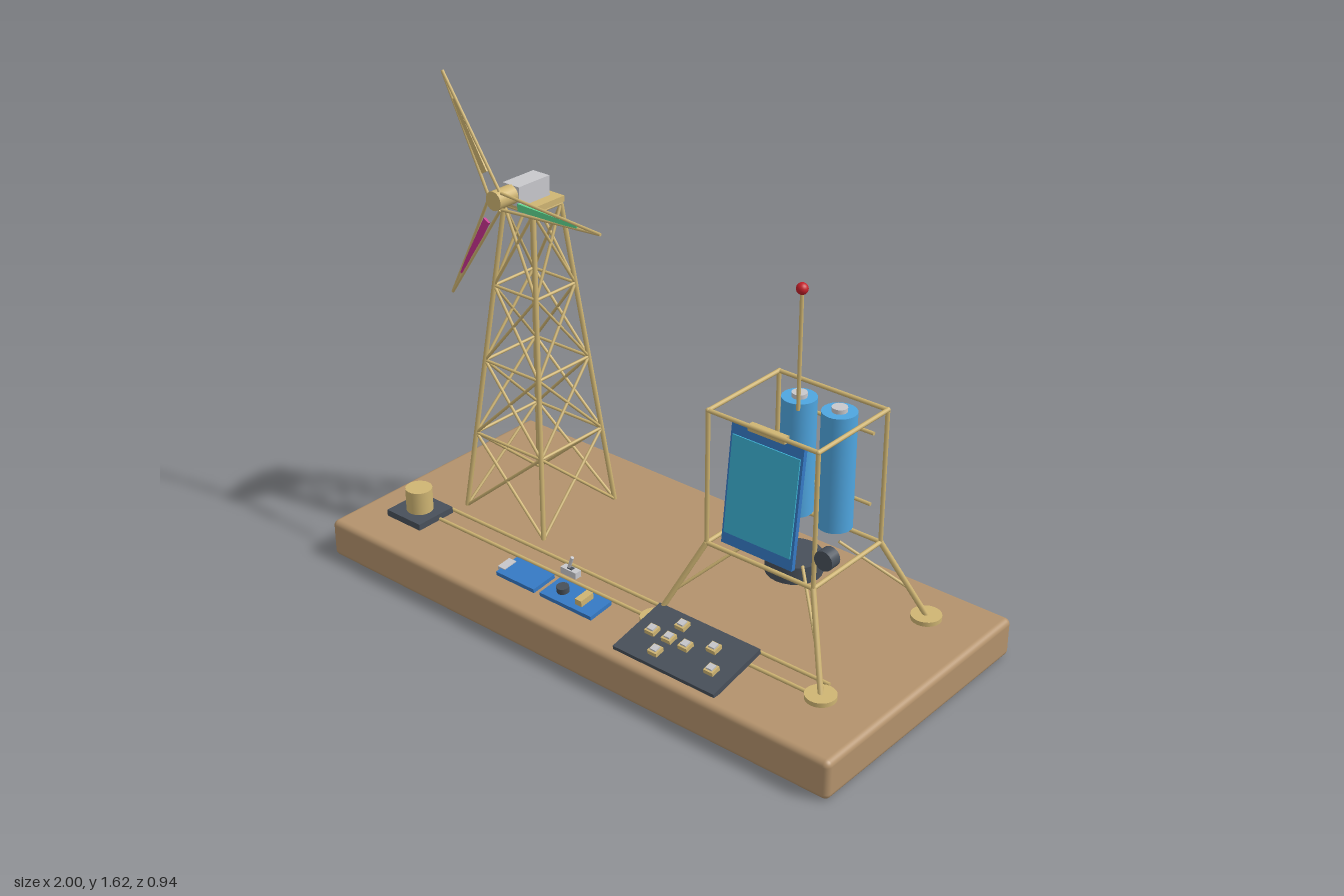
import * as THREE from 'three';
import { RoundedBoxGeometry } from 'three/addons/geometries/RoundedBoxGeometry.js';

const material = (name, color) => {
  const m = new THREE.MeshStandardMaterial({ color });
  m.name = name;
  return m;
};

export function createModel() {
  const sand = material('sand', 0xb3926c);
  const gold = material('gold', 0xcfb573);
  const skyBlue = material('sky blue', 0x4fa6e0);
  const blue = material('blue', 0x357ac6);
  const cyan = material('cyan', 0x3cb2d4);
  const dark = material('dark slate', 0x48505a);
  const grey = material('light grey', 0xc8c8cc);
  const red = material('red', 0xc4202a);
  const green = material('green', 0x5fd890);
  const magenta = material('magenta', 0xc8328f);

  const model = new THREE.Group();
  const V = (x, y, z) => new THREE.Vector3(x, y, z);

  const group = (name, parent = model, x = 0, y = 0, z = 0) => {
    const g = new THREE.Group();
    g.name = name;
    g.position.set(x, y, z);
    parent.add(g);
    return g;
  };
  const add = (parent, name, geometry, mat, x = 0, y = 0, z = 0) => {
    const mesh = new THREE.Mesh(geometry, mat);
    mesh.name = name;
    mesh.position.set(x, y, z);
    parent.add(mesh);
    return mesh;
  };
  const box = (parent, name, mat, w, h, d, x, y, z) =>
    add(parent, name, new THREE.BoxGeometry(w, h, d), mat, x, y, z);
  const cylinder = (parent, name, mat, r, h, x, y, z) =>
    add(parent, name, new THREE.CylinderGeometry(r, r, h, 24), mat, x, y, z);
  // Round bar between two points
  const rod = (parent, name, a, b, r, mat = gold) => {
    const dir = b.clone().sub(a);
    const mesh = add(parent, name, new THREE.CylinderGeometry(r, r, dir.length(), 8), mat);
    mesh.position.copy(a).add(b).multiplyScalar(0.5);
    mesh.quaternion.setFromUnitVectors(V(0, 1, 0), dir.normalize());
    return mesh;
  };

  // Ground slab
  add(model, 'base', new RoundedBoxGeometry(2, 0.13, 0.94, 4, 0.02), sand, 0, 0.065, 0);

  // Lattice tower
  const tower = group('tower', model, -0.56, 0, -0.06);
  const levels = [0.13, 0.4, 0.66, 0.92, 1.19];
  const corners = [[1, 1], [1, -1], [-1, -1], [-1, 1]];
  const towerPoint = (i, y) => {
    const half = THREE.MathUtils.mapLinear(y, 0.13, 1.19, 0.172, 0.062);
    return V(corners[i % 4][0] * half, y, corners[i % 4][1] * half);
  };
  for (let i = 0; i < 4; i++) {
    rod(tower, 'towerLeg', towerPoint(i, 0.13), towerPoint(i, 1.19), 0.008);
    for (let k = 0; k < 4; k++) {
      const lo = levels[k], hi = levels[k + 1];
      rod(tower, 'towerRing', towerPoint(i, hi), towerPoint(i + 1, hi), 0.005);
      rod(tower, 'towerBrace', towerPoint(i, lo), towerPoint(i + 1, hi), 0.005);
      rod(tower, 'towerBrace', towerPoint(i + 1, lo), towerPoint(i, hi), 0.005);
    }
  }
  box(tower, 'towerPlatform', gold, 0.14, 0.02, 0.14, 0, 1.205, 0);

  // Turbine housing, hub and three blades
  const turbine = group('turbine', model, -0.56, 1.25, 0);
  box(turbine, 'nacelle', grey, 0.068, 0.065, 0.135, 0, -0.002, -0.035);
  cylinder(turbine, 'hub', gold, 0.031, 0.08, 0, 0, 0.07).rotation.x = Math.PI / 2;
  [green, gold, magenta].forEach((mat, i) => {
    const blade = group('blade', turbine, 0, 0, 0.095);
    blade.rotation.z = i * Math.PI * 2 / 3;
    for (const s of [-1, 1]) rod(blade, 'bladeSpar', V(0.02, 0.027 * s, 0), V(0.42, 0, 0), 0.005);
    const shape = new THREE.Shape([[0.09, -0.012], [0.33, -0.006], [0.33, 0.006], [0.09, 0.012]]
      .map(p => new THREE.Vector2(...p)));
    add(blade, 'bladePanel', new THREE.ExtrudeGeometry(shape, { depth: 0.008, bevelEnabled: false }),
      mat, 0, 0, -0.004);
  });

  // Lander cage
  const lander = group('lander', model, 0.495, 0, -0.033);
  const cx = 0.195, cz = 0.167;
  for (let i = 0; i < 4; i++) {
    const [sx, sz] = corners[i], [nx, nz] = corners[(i + 1) % 4];
    for (const y of [0.4, 0.84]) {
      rod(lander, 'cageRail', V(sx * cx, y, sz * cz), V(nx * cx, y, nz * cz), 0.007);
      add(lander, 'cageJoint', new THREE.SphereGeometry(0.008, 10, 8), gold, sx * cx, y, sz * cz);
    }
    rod(lander, 'cagePost', V(sx * cx, 0.4, sz * cz), V(sx * cx, 0.84, sz * cz), 0.007);
    // Splayed leg with inner strut and round foot
    const top = V(sx * cx, 0.4, sz * cz), foot = V(sx * 0.307, 0.14, sz * 0.268);
    rod(lander, 'landerLeg', top, foot, 0.009);
    rod(lander, 'legStrut', top.clone().lerp(foot, 0.63), V(sx * 0.1, 0.4, sz * 0.09), 0.005);
    cylinder(lander, 'foot', gold, 0.048, 0.015, foot.x, 0.137, foot.z);
  }

  // Tanks with clamps, engine and mast
  for (const x of [-0.072, 0.072]) {
    cylinder(lander, 'tank', skyBlue, 0.054, 0.38, x, 0.63, -0.104);
    cylinder(lander, 'tankCap', grey, 0.024, 0.014, x, 0.827, -0.104);
  }
  for (const y of [0.515, 0.75]) rod(lander, 'tankClamp', V(-0.155, y, -0.163), V(0.155, y, -0.163), 0.006);
  cylinder(lander, 'engine', dark, 0.088, 0.056, 0, 0.332, -0.006);
  rod(lander, 'mast', V(0, 0.84, 0), V(0, 1.22, 0), 0.006);
  add(lander, 'beacon', new THREE.SphereGeometry(0.018, 20, 14), red, 0, 1.22, 0);

  // Tilted front screen
  const screen = group('screen', model, 0.495, 0.627, 0.121);
  screen.rotation.x = -0.11;
  box(screen, 'screenFrame', blue, 0.257, 0.385, 0.015, 0, 0, 0);
  box(screen, 'screenGlass', cyan, 0.24, 0.31, 0.006, 0, 0, 0.009);
  box(model, 'screenHinge', gold, 0.13, 0.02, 0.022, 0.5, 0.826, 0.112);

  // Side sensor on an arm
  const sensor = group('sensor');
  rod(sensor, 'sensorArm', V(0.69, 0.49, 0.06), V(0.767, 0.553, 0.17), 0.006);
  cylinder(sensor, 'sensorHead', dark, 0.031, 0.038, 0.767, 0.553, 0.182).rotation.x = Math.PI / 2;

  // Ground rails
  for (const z of [0.175, 0.245]) rod(model, 'groundRail', V(-0.765, 0.138, z), V(0.79, 0.138, z), 0.006);

  // Sloped control panel with buttons
  const panel = group('controlPanel', model, 0.382, 0.156, 0.325);
  panel.rotation.x = 0.2;
  box(panel, 'panelPlate', dark, 0.38, 0.018, 0.22, 0, 0, 0);
  for (const [x, z] of [[-0.063, -0.063], [-0.127, 0], [-0.063, 0], [0, 0], [-0.063, 0.063],
    [0.077, -0.036], [0.127, 0.038]]) {
    box(panel, 'button', gold, 0.034, 0.014, 0.034, x, 0.016, z);
    box(panel, 'buttonCap', grey, 0.022, 0.006, 0.022, x, 0.026, z);
  }

  // Corner plate with drum
  box(model, 'drumPlate', dark, 0.15, 0.022, 0.15, -0.8, 0.146, 0.262);
  cylinder(model, 'drum', gold, 0.044, 0.08, -0.8, 0.196, 0.262);

  // Two blue instrument boards
  const boards = group('instrumentBoards', model, 0, 0.145, 0.32);
  boards.rotation.x = 0.1;
  box(boards, 'smallBoard', blue, 0.16, 0.014, 0.095, -0.27, 0, 0);
  box(boards, 'smallBoardPlug', grey, 0.03, 0.012, 0.052, -0.348, 0.004, 0);
  box(boards, 'largeBoard', blue, 0.21, 0.014, 0.095, -0.06, 0, 0);
  cylinder(boards, 'boardDial', dark, 0.02, 0.02, -0.11, 0.016, 0);
  box(boards, 'boardBlock', gold, 0.026, 0.022, 0.055, -0.022, 0.017, 0);

  // Lever between the rails
  const lever = group('lever', model, -0.18, 0, 0.21);
  box(lever, 'leverBase', grey, 0.064, 0.022, 0.026, 0, 0.141, 0);
  box(lever, 'leverSlot', dark, 0.02, 0.004, 0.014, 0, 0.153, 0);
  rod(lever, 'leverStick', V(-0.008, 0.15, 0), V(0.008, 0.195, 0), 0.006, grey);

  return model;
}
